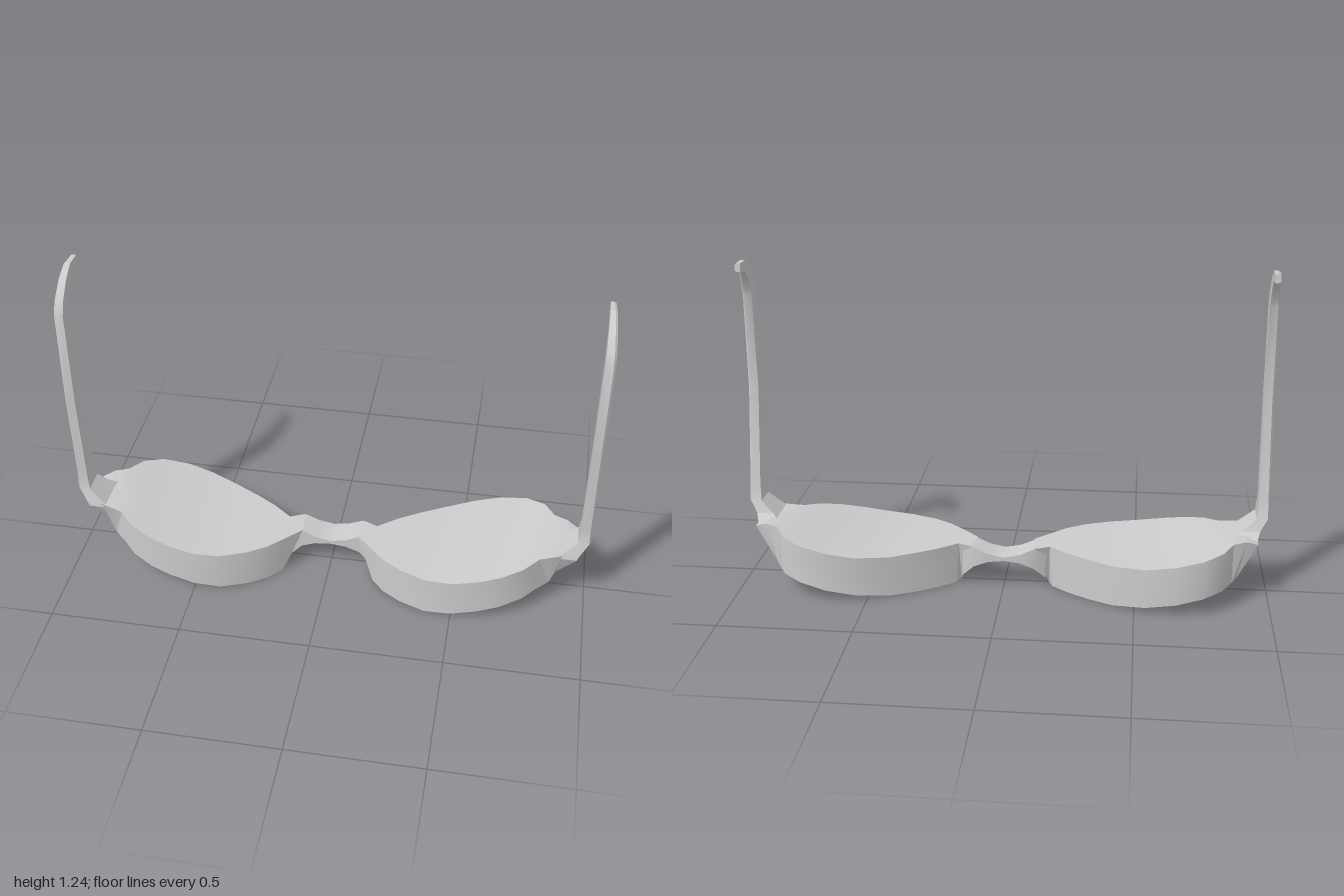
import * as THREE from 'three';
import { toCreasedNormals } from 'three/addons/utils/BufferGeometryUtils.js';

const material = new THREE.MeshStandardMaterial({ color: 0xcccccc });

// Skin a list of equal rings of [x, y, z]; side -1 mirrors the part in x.
// Caps are strips joining point j to point n-1-j.
function loft(name, rings, side, capStart = true, capEnd = true, crease = 0.5) {
  const pos = [];
  const tri = (a, b, c) => {
    for (const p of side > 0 ? [a, b, c] : [a, c, b]) pos.push(p[0] * side, p[1], p[2]);
  };
  const quad = (a, b, c, d) => { tri(a, b, c); tri(a, c, d); };
  const n = rings[0].length;
  for (let i = 0; i < rings.length - 1; i++) {
    const A = rings[i], B = rings[i + 1];
    for (let j = 0; j < n; j++) {
      const k = (j + 1) % n;
      quad(A[j], B[j], B[k], A[k]);
    }
  }
  const S = rings[0], E = rings[rings.length - 1];
  for (let j = 0; j < n / 2 - 1; j++) {
    const k = n - 1 - j;
    if (capStart) quad(S[j], S[j + 1], S[k - 1], S[k]);
    if (capEnd) quad(E[k], E[k - 1], E[j + 1], E[j]);
  }
  const geo = new THREE.BufferGeometry();
  geo.setAttribute('position', new THREE.Float32BufferAttribute(pos, 3));
  const mesh = new THREE.Mesh(toCreasedNormals(geo, crease), material);
  mesh.name = name;
  return mesh;
}

// Piecewise linear height along x
function heightCurve(points) {
  return x => {
    for (let i = 1; i < points.length; i++) {
      const [x0, y0] = points[i - 1], [x1, y1] = points[i];
      if (x <= x1) return y0 + (y1 - y0) * Math.max(0, (x - x0) / (x1 - x0));
    }
    return points[points.length - 1][1];
  };
}
const topY = heightCurve([[0.45, 0.16], [0.55, 0.173], [0.7, 0.203], [0.87, 0.24], [0.92, 0.24], [0.955, 0.222]]);
const bottomY = heightCurve([[0.35, 0], [0.42, 0.003], [0.52, 0.017], [0.65, 0.043], [0.8, 0.077], [0.89, 0.09]]);

// Lens housing outline in x, z: the long curved runs are shared by both edges
const frontRun = [[0.23, 0.16], [0.3, 0.205], [0.4, 0.245], [0.5, 0.255], [0.6, 0.245], [0.68, 0.225], [0.76, 0.185], [0.815, 0.13]];
const backRun = [[0.25, -0.095], [0.33, -0.145], [0.42, -0.195], [0.54, -0.244], [0.65, -0.26], [0.75, -0.245], [0.82, -0.2], [0.86, -0.13]];
const topOutline = [
  [0.11, 0.037], [0.17, 0.1], ...frontRun, [0.9, 0.11], [0.955, 0.105],
  [0.955, -0.085], [0.91, -0.105], ...[...backRun].reverse(), [0.175, -0.035], [0.12, -0.06],
];
const bottomOutline = [
  [0.17, 0.05], [0.18, 0.105], ...frontRun, [0.86, 0.09], [0.885, 0.03],
  [0.89, -0.03], [0.88, -0.09], ...[...backRun].reverse(), [0.185, -0.04], [0.17, 0],
];

function shrink(outline, fx, fz) {
  return outline.map(([x, z]) => [0.53 + (x - 0.53) * fx, z * fz]);
}
const lift = (outline, curve, dy = 0) => outline.map(([x, z]) => [x, curve(x) + dy, z]);

// Temple stations from tip to hinge:
// front edge z, y; back edge z, y; inner x, outer x
const templeStations = [
  [-0.085, 1.243, -0.088, 1.212, 0.955, 0.975],
  [-0.02, 1.243, -0.03, 1.205, 0.955, 0.98],
  [0.035, 1.21, 0, 1.175, 0.955, 0.985],
  [0.09, 1.15, 0.025, 1.13, 0.955, 0.99],
  [0.112, 1.1, 0.04, 1.1, 0.955, 0.992],
  [0.11, 0.73, 0.057, 0.73, 0.955, 0.994],
  [0.085, 0.36, 0.01, 0.36, 0.956, 0.998],
  [0.09, 0.295, -0.005, 0.295, 0.95, 1.0],
  [0.105, 0.25, -0.025, 0.25, 0.9, 0.972],
  [0.11, 0.225, -0.06, 0.225, 0.87, 0.96],
];
function templeRing([zf, yf, zb, yb, xi, xo]) {
  const at = (x, t) => [x, yf + (yb - yf) * t, zf + (zb - zf) * t];
  return [at(xi, 0), at(xo - 0.008, 0), at(xo, 0.15), at(xo, 0.85), at(xo - 0.008, 1), at(xi, 1)];
}

// Bridge stations: x, bottom y, top y, front z, back z
const bridgeStations = [
  [0.16, 0.03, 0.158, 0.04, -0.035], [0.115, 0.078, 0.158, 0.037, -0.062],
  [0.06, 0.1, 0.133, 0.039, -0.065], [0, 0.107, 0.121, 0.04, -0.066],
];
const bridgeRing = ([x, y0, y1, zf, zb]) => [[x, y1, zf], [x, y0, zf], [x, y0, zb], [x, y1, zb]];

export function createModel() {
  const model = new THREE.Group();
  model.name = 'sunglasses';
  const recess = shrink(bottomOutline, 0.84, 0.8);

  for (const side of [1, -1]) {
    const label = side > 0 ? 'left' : 'right';
    // Housing with closed inner face, rim and sloping recess wall
    model.add(loft(label + 'Housing', [
      lift(topOutline, topY),
      lift(bottomOutline, bottomY),
      lift(shrink(bottomOutline, 0.89, 0.85), bottomY),
      lift(recess, bottomY, 0.035),
    ], side, true, false));
    // Dark inset lens
    model.add(loft(label + 'Lens', [
      lift(recess, bottomY, 0.05), lift(recess, bottomY, 0.035),
    ], side));
    // Temple arm and its flared hinge
    model.add(loft(label + 'Temple', templeStations.map(templeRing), side));
  }

  // Thin-waisted bridge, mirrored across the middle
  const half = bridgeStations.map(bridgeRing);
  const otherHalf = half.slice(0, -1).reverse().map(r => r.map(([x, y, z]) => [-x, y, z]));
  model.add(loft('bridge', [...half, ...otherHalf], 1, true, true, 0.7));
  return model;
}
